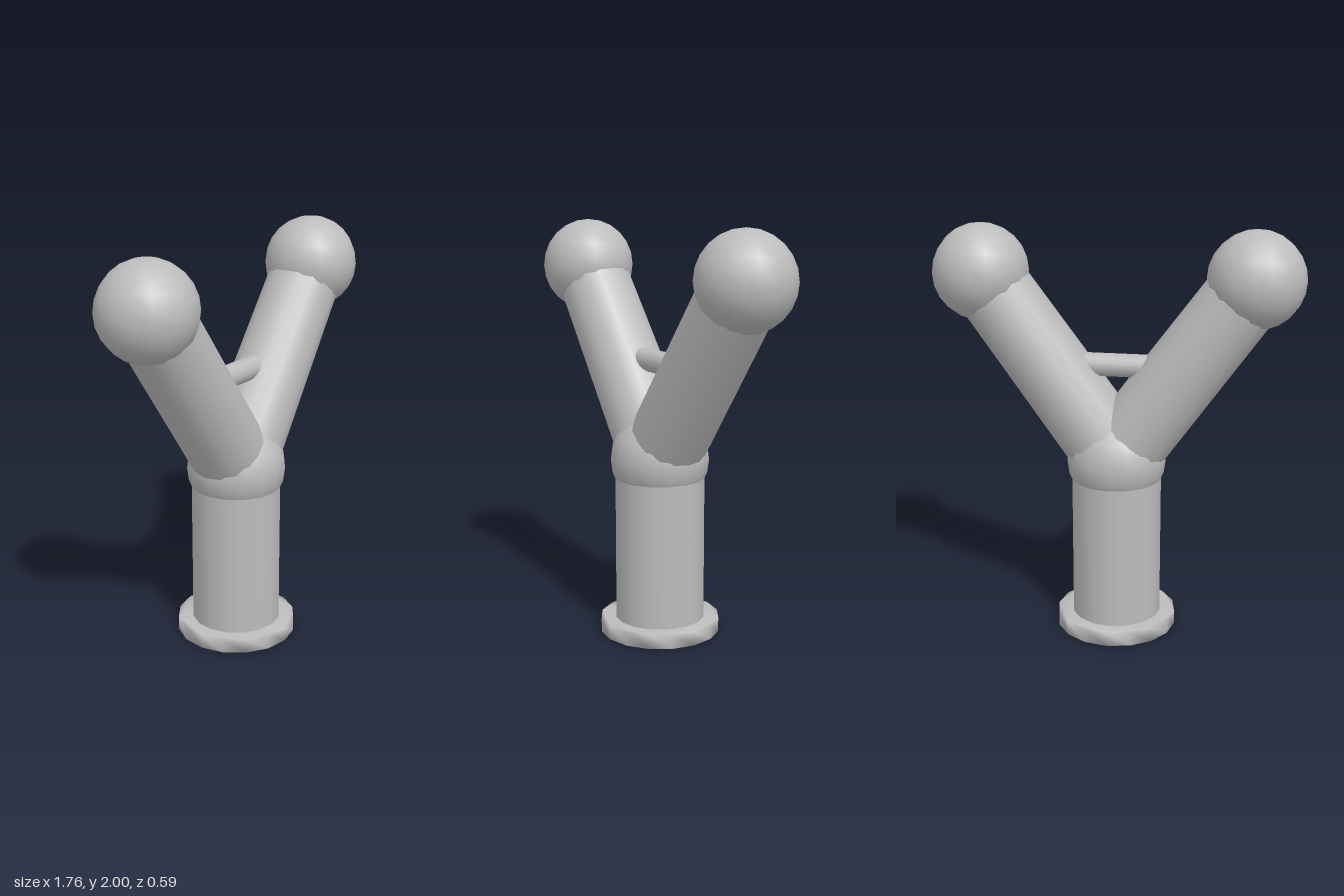
import * as THREE from 'three';
import { mergeVertices } from 'three/addons/utils/BufferGeometryUtils.js';

const SIDES = 16;

// Share the rim vertices so the shading rolls softly over the edges.
function soften(geometry) {
  geometry.deleteAttribute('normal');
  geometry.deleteAttribute('uv');
  const merged = mergeVertices(geometry, 1e-4);
  merged.computeVertexNormals();
  return merged;
}

export function createModel() {
  const model = new THREE.Group();
  model.name = 'forkedPost';
  const grey = new THREE.MeshStandardMaterial({ color: 0xbcbcbc });
  grey.name = 'plain grey';

  function add(name, geometry, x, y, z = 0) {
    const mesh = new THREE.Mesh(geometry, grey);
    mesh.name = name;
    mesh.position.set(x, y, z);
    model.add(mesh);
    return mesh;
  }

  // Foot disc, its caps spanning straight from rim to rim
  const rim = [];
  for (let i = 0; i < SIDES; i++) {
    const a = (i / SIDES) * Math.PI * 2;
    rim.push(new THREE.Vector2(Math.cos(a) * 0.295, Math.sin(a) * 0.295));
  }
  const disc = new THREE.ExtrudeGeometry(new THREE.Shape(rim), { depth: 0.07, bevelEnabled: false });
  disc.rotateX(-Math.PI / 2);
  add('foot', soften(disc), 0, 0);

  // Upright column and the round hub on top of it
  add('column', new THREE.CylinderGeometry(0.22, 0.22, 0.84, SIDES), 0, 0.45);
  const hubY = 0.875;
  add('hub', new THREE.SphereGeometry(0.242, SIDES, 12), 0, hubY);

  // Two slightly tapered arms, each ending in a ball
  const tip = new THREE.Vector2(0.65, 1.77);
  const rise = tip.y - hubY;
  const length = Math.hypot(tip.x, rise);
  for (const [side, s] of [['left', 1], ['right', -1]]) {
    const arm = add(side + 'Arm', new THREE.CylinderGeometry(0.18, 0.193, length, SIDES),
      s * tip.x / 2, (hubY + tip.y) / 2);
    arm.rotation.z = -s * Math.atan2(tip.x, rise);
    add(side + 'Ball', new THREE.SphereGeometry(0.23, SIDES, 12), s * tip.x, tip.y);
  }

  // Crossbar between the arms
  const bar = new THREE.CylinderGeometry(0.056, 0.056, 0.5, SIDES);
  bar.rotateZ(Math.PI / 2);
  add('crossbar', bar, 0, 1.34);

  return model;
}
